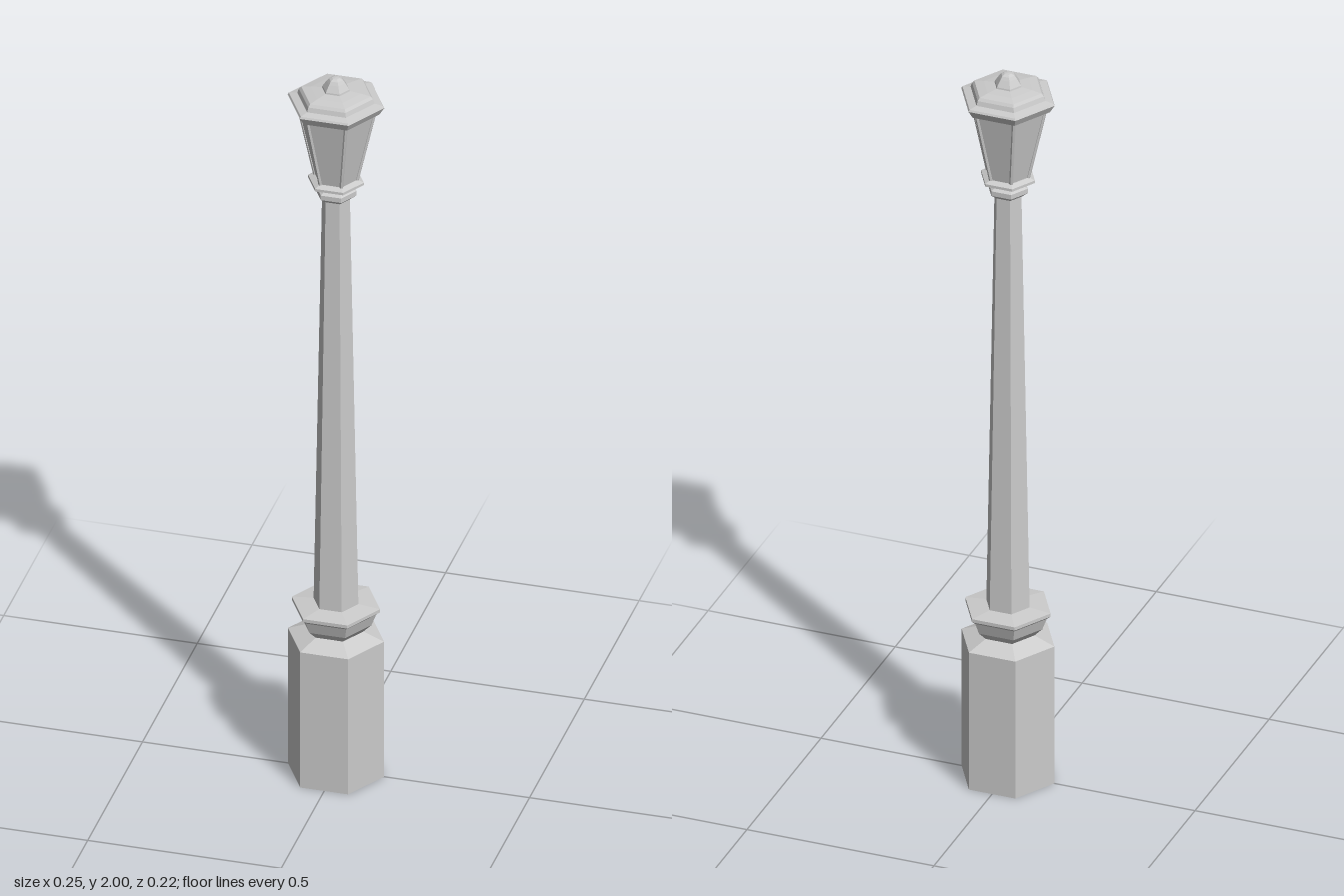
import * as THREE from 'three';

const SIDES = 6;
const material = new THREE.MeshStandardMaterial({ color: 0xcccccc, flatShading: true });

// Six-sided turned part from [radius, height] points, bottom to top, with a corner on +x
function turned(name, profile) {
  const points = profile.map(([r, y]) => new THREE.Vector2(r, y));
  const mesh = new THREE.Mesh(new THREE.LatheGeometry(points, SIDES, Math.PI / 2), material);
  mesh.name = name;
  return mesh;
}

// Slim bar running from one point to another
function bar(name, from, to, radius) {
  const mesh = new THREE.Mesh(new THREE.CylinderGeometry(radius, radius, from.distanceTo(to), 6), material);
  mesh.position.lerpVectors(from, to, 0.5);
  mesh.quaternion.setFromUnitVectors(new THREE.Vector3(0, 1, 0), to.clone().sub(from).normalize());
  mesh.name = name;
  return mesh;
}

export function createModel() {
  const lamp = new THREE.Group();
  lamp.name = 'streetLamp';

  // Plinth with sloped shoulder
  lamp.add(turned('plinth', [[0, 0], [0.124, 0], [0.124, 0.39], [0.068, 0.412], [0, 0.412]]));

  // Flared collar above the plinth
  lamp.add(turned('collar', [
    [0, 0.405], [0.07, 0.41], [0.092, 0.433], [0.104, 0.465], [0.114, 0.473],
    [0.114, 0.482], [0.058, 0.488], [0, 0.488],
  ]));

  // Tapered post
  lamp.add(turned('post', [[0, 0.48], [0.058, 0.48], [0.036, 1.66], [0, 1.66]]));

  // Stacked rings carrying the lantern
  lamp.add(turned('lanternSeat', [
    [0, 1.655], [0.038, 1.655], [0.053, 1.667], [0.053, 1.68], [0.04, 1.687],
    [0.053, 1.694], [0.072, 1.7], [0.072, 1.707], [0.057, 1.713], [0, 1.713],
  ]));

  // Lantern: tapered panes with a bar at each corner
  const lantern = new THREE.Group();
  lantern.name = 'lantern';
  lantern.add(turned('panes', [[0, 1.71], [0.054, 1.71], [0.101, 1.915], [0, 1.915]]));
  for (let i = 0; i < SIDES; i++) {
    const a = (i / SIDES) * Math.PI * 2;
    const corner = (r, y) => new THREE.Vector3(r * Math.cos(a), y, r * Math.sin(a));
    lantern.add(bar('cornerBar', corner(0.053, 1.708), corner(0.1, 1.915), 0.005));
  }
  lamp.add(lantern);

  // Stepped roof
  lamp.add(turned('roof', [
    [0, 1.91], [0.112, 1.91], [0.125, 1.931], [0.122, 1.936], [0.1, 1.94], [0.096, 1.952],
    [0.09, 1.959], [0.065, 1.963], [0.037, 1.966], [0, 1.966],
  ]));

  // Finial
  lamp.add(turned('finial', [
    [0.037, 1.96], [0.035, 1.97], [0.024, 1.987], [0.018, 1.995], [0.01, 1.999], [0, 2],
  ]));

  return lamp;
}
